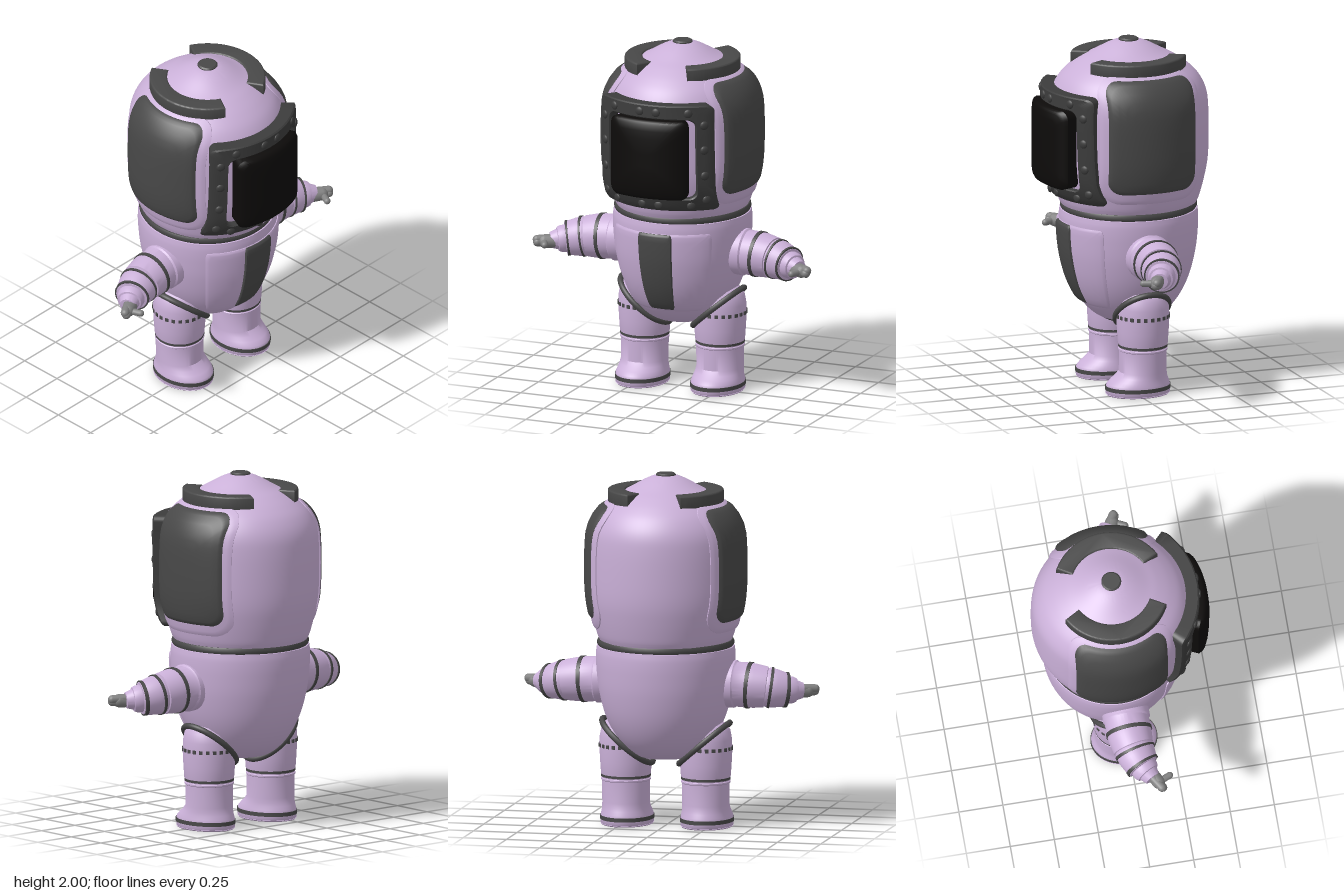
import * as THREE from 'three';
import { toCreasedNormals } from 'three/addons/utils/BufferGeometryUtils.js';

const mat = (color) => new THREE.MeshStandardMaterial({ color, side: THREE.DoubleSide });
const PINK = mat(0xcab0d8), DARK = mat(0x484848), TRIM = mat(0x3c3c3c), BLACK = mat(0x0d0b0a), GREY = mat(0x828282);
const CX = -0.05; // axis of head and torso
const V2 = (a) => new THREE.Vector2(...a);
const spline = (pts, n = 60) => new THREE.SplineCurve(pts.map(V2)).getPoints(n);

function add(parent, name, geo, material) {
  const m = new THREE.Mesh(geo, material);
  m.name = name;
  parent.add(m);
  return m;
}

// Lathe whose vertices may be moved by a rule, with sharp edges kept
function lathe(pts, rule, seg = 56) {
  const g = new THREE.LatheGeometry(pts.map((p) => (p.isVector2 ? p : V2(p))), seg);
  const p = g.attributes.position, v = new THREE.Vector3();
  if (rule) for (let i = 0; i < p.count; i++) {
    rule(v.fromBufferAttribute(p, i));
    p.setXYZ(i, v.x, v.y, v.z);
  }
  return toCreasedNormals(g, 0.7);
}

// Radius of a bottom-to-top profile at height y
const radiusOf = (pts) => (y) => {
  let i = 1;
  while (i < pts.length - 1 && pts[i].y < y) i++;
  const a = pts[i - 1], b = pts[i];
  return THREE.MathUtils.lerp(a.x, b.x, THREE.MathUtils.clamp((y - a.y) / (b.y - a.y || 1), 0, 1));
};

// Rounded rectangle (half width w, half height h), counter-clockwise
function outline(w, h, r) {
  const corners = [[1, 1], [-1, 1], [-1, -1], [1, -1]].map(([sx, sy], k) =>
    Array.from({ length: 8 }, (_, i) => {
      const a = (k + i / 7) * Math.PI / 2;
      return [sx * (w - r) + r * Math.cos(a), sy * (h - r) + r * Math.sin(a)];
    }));
  return corners.flatMap((c, k) => {
    const a = c[7], b = corners[(k + 1) % 4][0];
    const edge = Array.from({ length: 11 }, (_, i) => [0, 1].map((d) => a[d] + (b[d] - a[d]) * (i + 1) / 12));
    return [...c, ...edge];
  });
}

// Plate wrapped on a round surface. steps: [fraction from outer to inner outline, height]
function plate({ R, kz = 1, th0 = 0, y, outer, inner, steps, taper }) {
  const n = outer.length, pos = [], idx = [];
  steps.forEach(([f, h], i) => outer.forEach((o, j) => {
    const q = inner ? inner[j] : [0, 0];
    const u = o[0] + (q[0] - o[0]) * f, yy = y + o[1] + (q[1] - o[1]) * f, r = R(yy);
    const th = th0 - (taper ? u : Math.asin(THREE.MathUtils.clamp(u / (r + Math.max(h, 0)), -0.97, 0.97)));
    pos.push(CX + (r + h) * Math.cos(th), yy, (r * kz + h) * Math.sin(th));
    if (i) {
      const a = (i - 1) * n + j, b = (i - 1) * n + (j + 1) % n;
      idx.push(a, b, b + n, a, b + n, a + n);
    }
  }));
  const g = new THREE.BufferGeometry();
  g.setAttribute('position', new THREE.Float32BufferAttribute(pos, 3));
  g.setIndex(idx);
  return toCreasedNormals(g, 0.6);
}
const solid = (h, d = 0.03) => [[0, -d], [0, h * 0.5], [0.03, h * 0.85], [0.07, h],
  ...[0.2, 0.35, 0.5, 0.65, 0.8, 0.9, 1].map((f) => [f, h])];

export function createModel() {
  const root = new THREE.Group();
  root.name = 'suitedFigure';

  // Head and torso shells
  const headPts = spline([[0.385, 1.06], [0.402, 1.1], [0.428, 1.2], [0.446, 1.3], [0.452, 1.42], [0.45, 1.6], [0.436, 1.7],
    [0.395, 1.78], [0.335, 1.84], [0.265, 1.888], [0.2, 1.922], [0.12, 1.965], [0.06, 1.987], [0, 1.99]], 80);
  const torsoPts = spline([[0, 0.386], [0.1, 0.388], [0.17, 0.405], [0.24, 0.46], [0.3, 0.545], [0.345, 0.65],
    [0.376, 0.78], [0.389, 0.9], [0.391, 0.98], [0.386, 1.025]], 60);
  const headR = radiusOf(headPts), torsoR = radiusOf(torsoPts), KZ = 0.96;
  add(root, 'head', lathe([V2([0.35, 1.055]), ...headPts], (v) => { v.x += CX; v.z *= KZ; }, 80), PINK);
  add(root, 'torso', lathe([...torsoPts, V2([0.35, 1.032])], (v) => { v.x += CX; }, 80), PINK);
  add(root, 'neckRing', lathe([[0.34, 1.025], [0.378, 1.025], [0.384, 1.035], [0.384, 1.052], [0.378, 1.062], [0.34, 1.062]], (v) => { v.x += CX; }, 80), DARK);
  add(root, 'topCap', lathe([[0.056, 1.96], [0.056, 1.993], [0.048, 2], [0, 2]], (v) => { v.x += CX; }), DARK);

  // Window frame, visor and bolts on the facing side (+x)
  const frameR = radiusOf([[0.415, 1.1], [0.455, 1.17], [0.475, 1.25], [0.483, 1.4], [0.488, 1.6], [0.485, 1.75]].map(V2));
  add(root, 'windowFrame', plate({
    R: frameR, y: 1.43, outer: outline(0.345, 0.312, 0.035), inner: outline(0.262, 0.232, 0.05),
    steps: [[0, -0.09], [0, 0], [0.08, 0.008], [0.5, 0.008], [0.92, 0.008], [1, 0], [1, -0.07]],
  }), TRIM);
  add(root, 'visor', plate({
    R: () => 0.5, y: 1.432, outer: outline(0.238, 0.228, 0.05),
    steps: [[0, -0.1], [0, 0.015], [0.04, 0.031], [0.1, 0.038], [0.25, 0.044], [0.45, 0.047], [0.7, 0.05], [0.85, 0.05], [1, 0.05]],
  }), BLACK);
  const bolts = [];
  for (const s of [-1, 1]) {
    for (const z of [0.05, 0.225]) bolts.push([s * z, 1.702], [s * z, 1.157]);
    for (const y of [1.63, 1.485, 1.335, 1.19]) bolts.push([s * 0.303, y]);
  }
  for (const [z, y] of bolts) {
    const r = frameR(y) + 0.008, a = Math.asin(z / r);
    const b = add(root, 'bolt', new THREE.SphereGeometry(0.025, 14, 8), TRIM);
    b.position.set(CX + r * Math.cos(a), y, z);
    b.rotation.y = -a;
    b.scale.x = 0.45;
  }

  // Chest apron and its dark centre strip
  add(root, 'chestApron', plate({ R: torsoR, y: 0.73, outer: outline(0.84, 0.238, 0.05), steps: solid(0.011), taper: true }), PINK);
  add(root, 'chestStrip', plate({ R: torsoR, y: 0.735, outer: outline(0.255, 0.232, 0.03), steps: solid(0.021), taper: true }), DARK);

  // Curved crown plate, laid flat
  const arc = new THREE.Shape();
  const a0 = 0.52, a1 = Math.PI - 0.52, rm = 0.275, hw = 0.04;
  arc.absarc(0, 0, rm + hw, a0, a1, false);
  arc.absarc(0, 0, rm - hw, a1, a0, true);
  arc.closePath();
  const arcGeo = new THREE.ExtrudeGeometry(arc, { depth: 0.06, curveSegments: 32, bevelSize: 0.01, bevelThickness: 0.01, bevelSegments: 3 });

  const UP = new THREE.Vector3(0, 1, 0);
  for (const s of [1, -1]) {
    const side = s > 0 ? 'left' : 'right';

    // Head side panel on its raised border, and crown plate
    add(root, side + 'PanelBorder', plate({ R: headR, kz: KZ, th0: s * Math.PI / 2, y: 1.49, outer: outline(0.3, 0.36, 0.12), steps: solid(0.012) }), PINK);
    add(root, side + 'HeadPanel', plate({ R: headR, kz: KZ, th0: s * Math.PI / 2, y: 1.51, outer: outline(0.26, 0.32, 0.08), steps: solid(0.023) }), DARK);
    const crown = add(root, side + 'CrownPlate', toCreasedNormals(arcGeo.clone(), 0.6), DARK);
    crown.position.set(CX, 1.842, 0);
    crown.rotation.set(-Math.PI / 2, 0, s > 0 ? Math.PI : 0);

    // Arm: a lathe bent along a curve, y running 0..1 from shoulder to wrist
    const arm = new THREE.Group();
    arm.name = side + 'Arm';
    root.add(arm);
    const path = new THREE.CatmullRomCurve3([[-0.03, 0.815, 0.33], [-0.03, 0.81, 0.46], [-0.02, 0.8, 0.57],
      [0.01, 0.785, 0.67], [0.06, 0.775, 0.765]].map(([x, y, z]) => new THREE.Vector3(x, y, s * z)));
    const bend = (v) => {
      const t = THREE.MathUtils.clamp(v.y, 0, 1), T = path.getTangentAt(t), c = path.getPointAt(t);
      const Z = new THREE.Vector3().crossVectors(UP, T).normalize(), X = new THREE.Vector3().crossVectors(T, Z);
      v.copy(c.addScaledVector(X, v.x).addScaledVector(Z, v.z));
    };
    add(arm, 'sleeve', lathe([[0.132, 0], [0.134, 0.15], [0.126, 0.17], [0.127, 0.3], [0.124, 0.4], [0.116, 0.53], [0.108, 0.535],
      [0.112, 0.56], [0.108, 0.65], [0.098, 0.75], [0.091, 0.8], [0.078, 0.805], [0.076, 0.86], [0.068, 0.9], [0.058, 0.905], [0.045, 0.99], [0, 1]], bend, 40), PINK);
    for (const [t, w, r] of [[0.3, 0.045, 0.128], [0.57, 0.03, 0.113], [0.76, 0.035, 0.097]])
      add(arm, 'sleeveBand', lathe([[r - 0.02, t], [r + 0.003, t], [r + 0.003, t + w], [r - 0.03, t + w]], bend, 40), DARK);

    // Claw: two blunt fingers and a thumb
    for (const [from, to, r] of [[[0.05, 0.787, 0.745], [0.1, 0.782, 0.825], 0.025], [[0.05, 0.763, 0.745], [0.105, 0.768, 0.82], 0.025],
      [[0.06, 0.772, 0.735], [0.085, 0.772, 0.785], 0.038], [[0.08, 0.772, 0.79], [0.155, 0.77, 0.755], 0.019]]) {
      const A = new THREE.Vector3(from[0], from[1], s * from[2]), B = new THREE.Vector3(to[0], to[1], s * to[2]);
      const f = add(arm, 'clawFinger', new THREE.CapsuleGeometry(r, A.distanceTo(B), 6, 14), GREY);
      f.position.copy(A).lerp(B, 0.5);
      f.quaternion.setFromUnitVectors(UP, B.sub(A).normalize());
    }

    // Leg: the foot is stretched toward the facing side
    const leg = new THREE.Group();
    leg.name = side + 'Leg';
    leg.position.set(-0.047, 0, s * 0.23);
    root.add(leg);
    const foot = (v) => {
      const k = 1 - THREE.MathUtils.smoothstep(v.y, 0.055, 0.14);
      v.x = v.x * (1 + 0.26 * k) + 0.03 * k;
    };
    add(leg, 'trouserAndBoot', lathe([[0, 0.004], [0.142, 0.004], [0.147, 0.012], [0.147, 0.05], [0.144, 0.065], [0.139, 0.085], [0.135, 0.105],
      [0.133, 0.13], [0.134, 0.25], [0.139, 0.254], [0.139, 0.262], [0.134, 0.266], [0.14, 0.29], [0.145, 0.36], [0.149, 0.44],
      [0.147, 0.5], [0.138, 0.55], [0.115, 0.585], [0.07, 0.605], [0, 0.61]], foot), PINK);
    for (const [y, h, r] of [[0.03, 0.022, 0.147], [0.272, 0.014, 0.136]])
      add(leg, 'legBand', lathe([[r - 0.02, y], [r + 0.003, y], [r + 0.003, y + h], [r - 0.02, y + h]], foot), DARK);
    add(leg, 'sole', lathe([[0, 0], [0.142, 0], [0.147, 0.006], [0.14, 0.01]], foot), PINK);
    for (let i = 0; i < 24; i++) {
      const a = i * Math.PI / 12;
      const stud = add(leg, 'stud', new THREE.BoxGeometry(0.02, 0.02, 0.01), DARK);
      stud.position.set(Math.sin(a) * 0.148, 0.45, Math.cos(a) * 0.148);
      stud.rotation.y = a;
    }

    // Tilted hip ring
    const ring = add(root, side + 'HipRing', new THREE.TorusGeometry(0.185, 0.017, 10, 56), DARK);
    ring.position.set(-0.045, 0.473, s * 0.222);
    ring.rotation.x = s * 0.87;
    ring.scale.x = 0.83;
  }
  return root;
}
